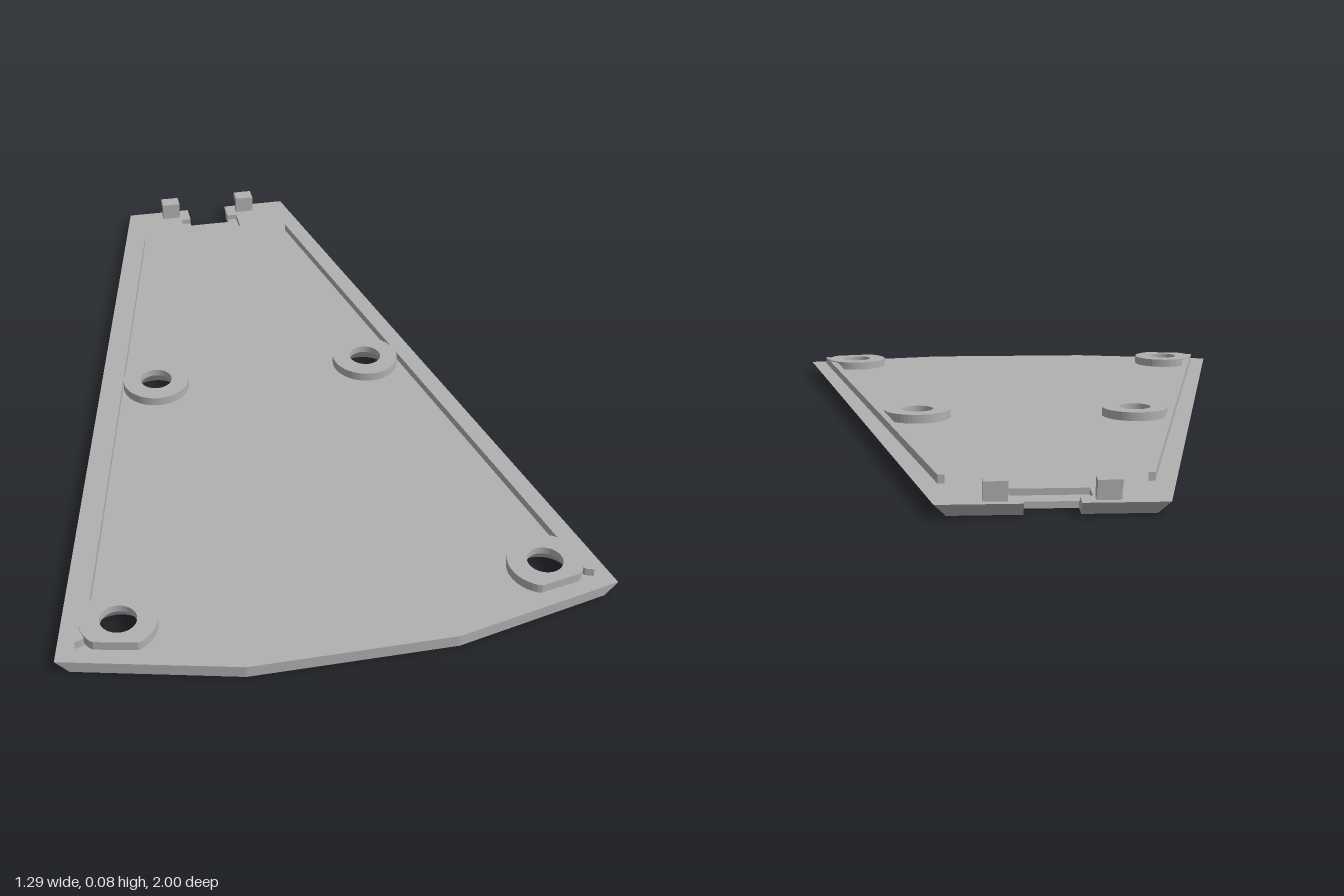
import * as THREE from 'three';

const TOP = 0.03, MID = 0.015, BOSS_TOP = 0.053;
const grey = new THREE.MeshStandardMaterial({ color: 0xb0b0b0 });
grey.name = 'grey plastic';

// All outlines are lists of [x, z], running clockwise as seen from above.
const circle = (cx, cz, r, n = 48) => Array.from({ length: n }, (_, i) => {
  const a = (i / n) * Math.PI * 2;
  return [cx + r * Math.cos(a), cz + r * Math.sin(a)];
});

// Flat face at height y, facing up or down
function cap(outline, y, up = true, holes = []) {
  const s = up ? -1 : 1;
  const toVec = (pts) => pts.map(([x, z]) => new THREE.Vector2(x, s * z));
  const shape = new THREE.Shape(toVec(outline));
  holes.forEach((h) => shape.holes.push(new THREE.Path(toVec(h))));
  return new THREE.ShapeGeometry(shape).rotateX(s * Math.PI / 2).translate(0, y, 0);
}

// Wall between an upper and a lower outline with equal point counts
function wall(upper, yU, lower, yL) {
  const pos = [], n = upper.length;
  for (let i = 0; i < n; i++) {
    const j = (i + 1) % n;
    const a = [upper[i][0], yU, upper[i][1]], b = [upper[j][0], yU, upper[j][1]];
    const c = [lower[j][0], yL, lower[j][1]], d = [lower[i][0], yL, lower[i][1]];
    pos.push(...a, ...b, ...d, ...b, ...c, ...d);
  }
  const g = new THREE.BufferGeometry();
  g.setAttribute('position', new THREE.Float32BufferAttribute(pos, 3));
  g.computeVertexNormals();
  return g;
}

export function createModel() {
  const model = new THREE.Group();
  model.name = 'coverPlate';
  const add = (name, geometry, parent = model) => {
    const m = new THREE.Mesh(geometry, grey);
    m.name = name;
    parent.add(m);
    return m;
  };
  const mirrored = (pts, s) => (s > 0 ? pts : pts.map(([x, z]) => [-x, z]).reverse());

  // Half outlines of the plate: back corner, side corner, front corner
  const halfTop = [[0.245, -1], [0.645, 0.905], [0.24, 1]];
  const halfBottom = [[0.22, -0.975], [0.614, 0.911], [0.24, 1]];
  const halfMid = halfTop.map(([x, z], i) => [(x + halfBottom[i][0]) / 2, (z + halfBottom[i][1]) / 2]);
  const full = (half, notch) => {
    const h = [...notch, ...half];
    return [...h, ...mirrored(h, -1)];
  };
  // Notch through the back edge, with a wider shallow pocket in the upper half
  const pocket = (z) => [[0.088, -0.87], [0.088, -0.94], [0.06, -0.94], [0.06, z]];
  const notch = (z) => [[0.06, -0.925], [0.06, z]];
  const upperTop = full(halfTop, pocket(-1));
  const upperMid = full(halfMid, pocket(-0.9875));
  const lowerMid = full(halfMid, notch(-0.9875));
  const bottom = full(halfBottom, notch(-0.975));

  const holes = [];
  for (const s of [1, -1]) holes.push([s * 0.29, -0.06, false], [s * 0.495, 0.825, true]);
  const rings = (r) => holes.map(([x, z]) => circle(x, z, r));

  const plate = new THREE.Group();
  plate.name = 'plate';
  model.add(plate);
  add('plateTop', cap(upperTop, TOP, true, rings(0.05)), plate);
  add('plateUnderside', cap(bottom, 0, false, rings(0.068)), plate);
  add('plateUpperEdge', wall(upperTop, TOP, upperMid, MID), plate);
  add('plateLowerEdge', wall(lowerMid, MID, bottom, 0), plate);
  add('pocketFloor', cap([[-0.088, -0.94], [-0.06, -0.94], [-0.06, -0.925], [0.06, -0.925],
    [0.06, -0.94], [0.088, -0.94], [0.088, -0.87], [-0.088, -0.87]], MID), plate);

  // Screw bosses with countersunk holes; the front pair is trimmed along the front edge
  for (const [x, z, corner] of holes) {
    const boss = new THREE.Group();
    boss.name = 'screwBoss';
    model.add(boss);
    const rim = circle(x, z, 0.088).map(([px, pz]) =>
      [px, corner ? Math.min(pz, 0.905 - 0.21 * (Math.abs(px) - 0.46)) : pz]);
    const hole = circle(x, z, 0.042).reverse();
    add('bossTop', cap(rim, BOSS_TOP, true, [hole]), boss);
    add('bossSide', wall(rim, BOSS_TOP, rim, TOP), boss);
    add('holeWall', wall(hole, BOSS_TOP, hole, 0.035), boss);
    add('countersink', wall(hole, 0.035, circle(x, z, 0.068).reverse(), 0), boss);
  }

  for (const s of [1, -1]) {
    const side = s > 0 ? 'left' : 'right';

    // Long rib beside each slanted edge
    const rib = mirrored([[0.222, -0.815], [0.237, -0.815], [0.597, 0.875], [0.577, 0.868], [0.554, 0.765]], s);
    add(side + 'RibTop', cap(rib, 0.05), model);
    add(side + 'RibSides', wall(rib, 0.05, rib, TOP), model);

    // Hooked clip at the back edge
    const clip = new THREE.Group();
    clip.name = side + 'Clip';
    model.add(clip);
    add('clipPost', new THREE.BoxGeometry(0.053, 0.05, 0.021), clip).position.set(s * 0.118, 0.053, -0.968);
    add('clipLip', new THREE.BoxGeometry(0.053, 0.02, 0.022), clip).position.set(s * 0.118, 0.068, -0.989);
  }
  return model;
}
